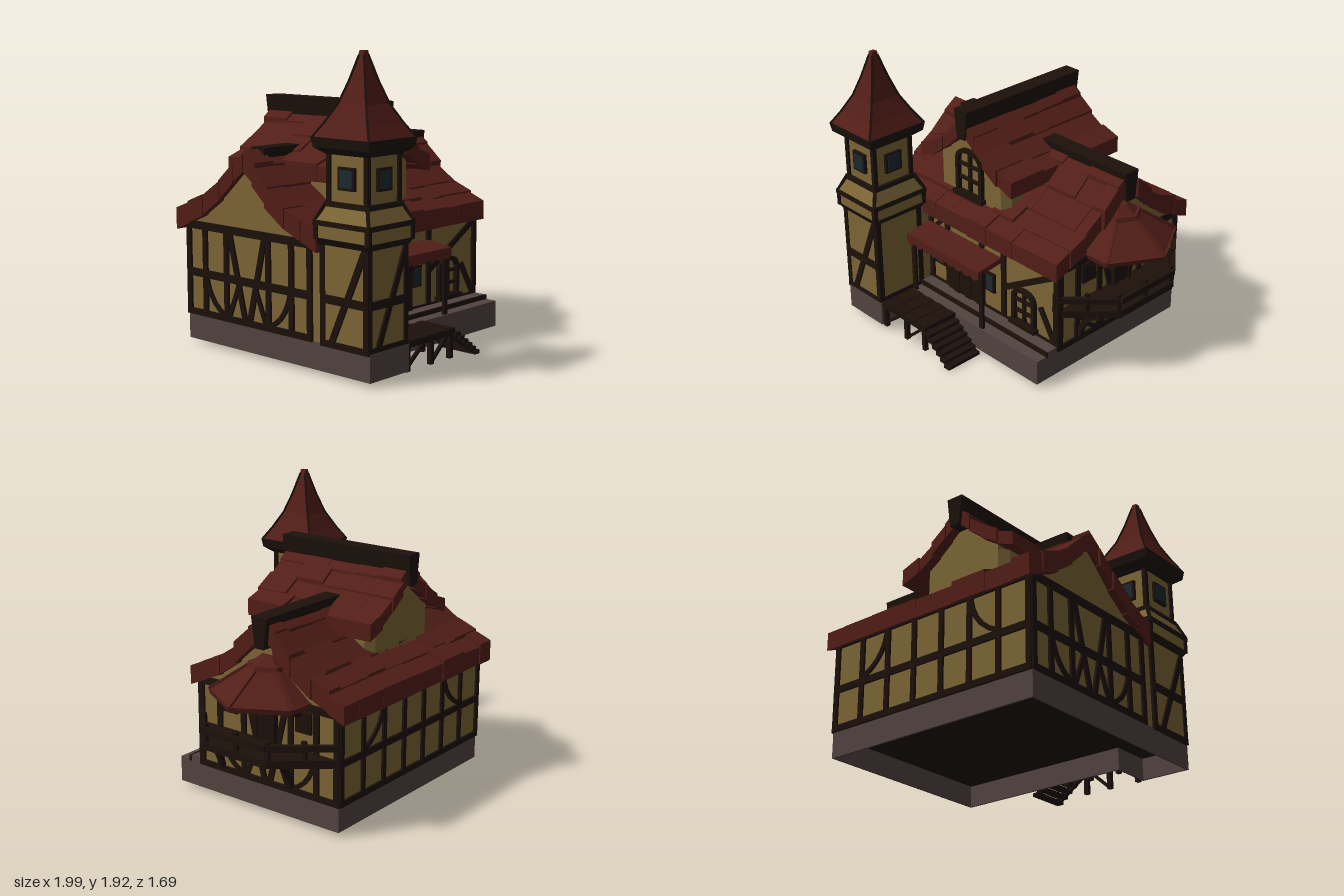
import * as THREE from 'three';

const mat = (color) => new THREE.MeshStandardMaterial({ color, flatShading: true, side: THREE.DoubleSide });
const ROOF = mat(0x531e18), WALL = mat(0x7d6636), WOOD = mat(0x1c110a), STONE = mat(0x524440), GLASS = mat(0x1c2a30);

let seed = 7;
const rnd = () => (seed = (seed * 16807) % 2147483647) / 2147483647;

function add(parent, name, geo, m, x = 0, y = 0, z = 0) {
  const mesh = new THREE.Mesh(geo, m);
  mesh.name = name;
  mesh.position.set(x, y, z);
  parent.add(mesh);
  return mesh;
}
const box = (parent, name, m, x0, x1, y0, y1, z0, z1) =>
  add(parent, name, new THREE.BoxGeometry(x1 - x0, y1 - y0, z1 - z0), m, (x0 + x1) / 2, (y0 + y1) / 2, (z0 + z1) / 2);
const sub = (parent, name) => {
  const g = new THREE.Group();
  g.name = name;
  parent.add(g);
  return g;
};
const shapeOf = (pts) => new THREE.Shape(pts.map((p) => new THREE.Vector2(p[0], p[1])));
const extrude = (shape, depth) => new THREE.ExtrudeGeometry(shape, { depth, bevelEnabled: false, curveSegments: 8 });
// Cross-section of [-z, y] points drawn out along x
const alongX = (pts, length) => extrude(shapeOf(pts), length).rotateY(Math.PI / 2);

// Upright prism over a floor plan of [x, z] points
function prism(parent, name, m, plan, y0, y1, hole) {
  const s = shapeOf(plan.map(([x, z]) => [x, -z]));
  if (hole) s.holes.push(shapeOf(hole.map(([x, z]) => [x, -z])));
  return add(parent, name, extrude(s, y1 - y0).rotateX(-Math.PI / 2), m, 0, y0, 0);
}
// Straight bar between two points in space
function bar(parent, name, m, a, b, w = 0.035, h = w) {
  const p = new THREE.Vector3(...a), q = new THREE.Vector3(...b);
  const mesh = add(parent, name, new THREE.BoxGeometry(w, h, p.distanceTo(q)), m);
  mesh.position.copy(p).lerp(q, 0.5);
  mesh.quaternion.setFromRotationMatrix(new THREE.Matrix4().lookAt(q, p, new THREE.Vector3(0, 1, 0.001)));
}
// Timber lying on a wall plane (local x, y; z points outward)
function timber(wall, x0, y0, x1, y1, w = 0.04) {
  const t = add(wall, 'timber', new THREE.BoxGeometry(Math.hypot(x1 - x0, y1 - y0), w, 0.03), WOOD, (x0 + x1) / 2, (y0 + y1) / 2, 0);
  t.rotation.z = Math.atan2(y1 - y0, x1 - x0);
}
function curvedTimber(wall, x0, y0, cx, cy, x1, y1) {
  const pts = new THREE.QuadraticBezierCurve(new THREE.Vector2(x0, y0), new THREE.Vector2(cx, cy), new THREE.Vector2(x1, y1)).getPoints(5);
  for (let i = 0; i < 5; i++) timber(wall, pts[i].x, pts[i].y, pts[i + 1].x, pts[i + 1].y, 0.03);
}
function wallPlane(parent, name, x, z, rotY) {
  const g = sub(parent, name);
  g.position.set(x, 0, z);
  g.rotation.y = rotY;
  return g;
}
function smallWindow(wall, x, y, w, h, pane) {
  box(wall, 'windowFrame', WOOD, x - w / 2, x + w / 2, y - h / 2, y + h / 2, 0, 0.02);
  box(wall, 'windowPane', pane, x - w / 2 + 0.015, x + w / 2 - 0.015, y - h / 2 + 0.015, y + h / 2 - 0.015, 0, 0.024);
}
function archedWindow(wall, x, y0, w, h) {
  const outline = (i) => new THREE.Shape().moveTo(-w / 2 + i, i).lineTo(w / 2 - i, i).lineTo(w / 2 - i, h * 0.7)
    .quadraticCurveTo(w / 2 - i, h - i, 0, h - i).quadraticCurveTo(-w / 2 + i, h - i, -w / 2 + i, h * 0.7);
  const frame = outline(0);
  frame.holes.push(outline(0.028));
  add(wall, 'archedWindowFrame', extrude(frame, 0.03), WOOD, x, y0, 0);
  box(wall, 'windowSill', WOOD, x - w / 2 - 0.015, x + w / 2 + 0.015, y0 - 0.01, y0 + 0.02, 0, 0.045);
  box(wall, 'windowBar', WOOD, x - 0.012, x + 0.012, y0, y0 + h - 0.02, 0, 0.02);
  for (const f of [0.35, 0.65]) box(wall, 'windowBar', WOOD, x - w / 2 + 0.01, x + w / 2 - 0.01, y0 + h * f - 0.01, y0 + h * f + 0.01, 0, 0.02);
}
// Concave tiled roof: ridge along local x, plumb-cut courses stepping down both sides
function tiledRoof(parent, name, prof, x0, x1, thick) {
  const g = sub(parent, name);
  for (const s of [-1, 1]) for (let i = 0; i + 1 < prof.length; i++) {
    const [d0, h0] = prof[i], [d1, h1] = prof[i + 1];
    let x = x0 - rnd() * 0.03;
    const end = x1 + rnd() * 0.03;
    while (x < end) {
      let next = x + 0.12 + rnd() * 0.13;
      if (end - next < 0.08) next = end;
      const r = rnd() < 0.3 ? 0.022 : rnd() * 0.01;
      const lip = i + 2 < prof.length ? 0.012 : r * 0.4;
      const section = [[s * d0, h0 + r], [s * (d1 + lip), h1 + r + 0.004], [s * (d1 + lip), h1 - thick], [s * d0, h0 - thick]];
      add(g, 'roofTile', alongX(section, next - x), ROOF, x, 0, 0);
      x = next;
    }
  }
  return g;
}
// Ridge beam, wider at the top, running along local x
const ridgeBeam = (parent, x0, x1, top) =>
  add(parent, 'ridgeBeam', alongX([[-0.035, top - 0.2], [0.035, top - 0.2], [0.06, top], [-0.06, top]], x1 - x0), WOOD, x0, 0, 0);

function buildTower(root) {
  const t = sub(root, 'tower');
  t.position.set(-0.782, 0, 0.605);
  t.scale.z = 1.09;
  const tier = (name, m, y0, h0, y1, h1) =>
    add(t, name, new THREE.CylinderGeometry(h1 * Math.SQRT2, h0 * Math.SQRT2, y1 - y0, 4).rotateY(Math.PI / 4), m, 0, (y0 + y1) / 2, 0);
  tier('towerBody', WALL, 0.2, 0.17, 0.83, 0.17);
  tier('towerSill', WOOD, 0.19, 0.177, 0.23, 0.177);
  tier('towerCornice', WOOD, 0.8, 0.177, 0.84, 0.2);
  tier('towerBelt', WALL, 0.84, 0.192, 0.92, 0.192);
  tier('towerCornice', WOOD, 0.915, 0.205, 0.945, 0.203);
  tier('towerFlare', WALL, 0.945, 0.195, 1.03, 0.152);
  tier('towerCornice', WOOD, 1.025, 0.16, 1.055, 0.156);
  tier('towerRoom', WALL, 1.05, 0.135, 1.34, 0.135);
  tier('eaveMoulding', WOOD, 1.33, 0.15, 1.37, 0.2);
  tier('eaveFascia', WOOD, 1.37, 0.2, 1.43, 0.21);
  const spire = [[1.425, 0.205], [1.51, 0.155], [1.62, 0.1], [1.75, 0.058], [1.9, 0.018]];
  const corners = [[1, 1], [1, -1], [-1, 1], [-1, -1]];
  for (let i = 0; i < 4; i++) {
    const [y0, h0] = spire[i], [y1, h1] = spire[i + 1];
    tier('spire', ROOF, y0, h0, y1, h1);
    for (const [sx, sz] of corners) bar(t, 'spireRib', WOOD, [sx * h0, y0, sz * h0], [sx * h1, y1, sz * h1], 0.012);
  }
  tier('spireCap', ROOF, 1.89, 0.022, 1.925, 0.017);
  for (const [sx, sz] of corners) {
    const post = (name, c, w, y0, y1) => box(t, name, WOOD, sx * c - w, sx * c + w, y0, y1, sz * c - w, sz * c + w);
    post('cornerPost', 0.158, 0.018, 0.2, 0.82);
    post('roomPost', 0.135, 0.014, 1.04, 1.34);
    post('beltPost', 0.187, 0.014, 0.83, 0.93);
    bar(t, 'flareRib', WOOD, [sx * 0.193, 0.94, sz * 0.193], [sx * 0.152, 1.04, sz * 0.152], 0.02);
  }
  for (let k = 0; k < 4; k++) {
    const a = (k * Math.PI) / 2, room = wallPlane(t, 'towerWindow', Math.sin(a) * 0.135, Math.cos(a) * 0.135, a);
    smallWindow(room, 0, 1.195, 0.12, 0.135, GLASS);
    if (k !== 0 && k !== 3) continue;
    const face = wallPlane(t, 'towerTimbers', Math.sin(a) * 0.168, Math.cos(a) * 0.168, a);
    timber(face, -0.165, 0.48, 0.165, 0.48, 0.05);
    timber(face, -0.09, 0.22, 0.01, 0.46);
    timber(face, 0.03, 0.5, 0.15, 0.79);
  }
}

function buildBalcony(root) {
  const b = sub(root, 'balcony');
  const plan = [[0.62, 0.34], [0.9, 0.06], [0.9, -0.44], [0.62, -0.78]];
  prism(b, 'balconyFloor', WOOD, plan, 0.45, 0.5);
  for (let i = 0; i < 3; i++) {
    const [ax, az] = plan[i], [bx, bz] = plan[i + 1];
    bar(b, 'handrail', WOOD, [ax, 0.58, az], [bx, 0.58, bz], 0.03, 0.04);
    for (const f of [0, 0.5, 1]) {
      const x = ax + (bx - ax) * f - 0.02, z = az + (bz - az) * f;
      box(b, 'railPost', WOOD, x - 0.012, x + 0.012, 0.49, 0.62, z - 0.015, z + 0.015);
    }
  }
  for (const z of [0.15, -0.42]) {
    const pts = new THREE.QuadraticBezierCurve3(new THREE.Vector3(0.63, 0.23, z), new THREE.Vector3(0.67, 0.42, z), new THREE.Vector3(0.82, 0.46, z)).getPoints(5);
    for (let i = 0; i < 5; i++) bar(b, 'curvedBracket', WOOD, pts[i].toArray(), pts[i + 1].toArray(), 0.035);
  }
  // Six-sided canopy over the balcony
  const hex = (name, m, r1, r0, y0, y1) =>
    add(b, name, new THREE.CylinderGeometry(r1, r0, y1 - y0, 6).rotateY(Math.PI / 6), m, 0.61, (y0 + y1) / 2, -0.235);
  hex('canopyFascia', ROOF, 0.387, 0.375, 0.785, 0.82);
  hex('canopyRoof', ROOF, 0.14, 0.38, 0.815, 0.98);
  hex('canopyCap', ROOF, 0.135, 0.145, 0.98, 1.01);
  hex('canopyPeak', ROOF, 0.05, 0.115, 1.01, 1.06);
  for (const a of [-1, 0, 1]) {
    const c = Math.cos((a * Math.PI) / 3), s = Math.sin((a * Math.PI) / 3);
    bar(b, 'canopyHip', ROOF, [0.61 + 0.38 * c, 0.818, -0.235 + 0.38 * s], [0.61 + 0.14 * c, 0.982, -0.235 + 0.14 * s], 0.022);
    bar(b, 'canopyStrut', WOOD, [0.61 + 0.33 * c, 0.78, -0.235 + 0.33 * s], [0.63, 0.73, -0.235 + 0.3 * s], 0.025);
  }
}

function buildPorch(root) {
  const p = sub(root, 'porch');
  box(p, 'porchFloor', STONE, -0.6, 0.625, 0.19, 0.203, 0.33, 0.525);
  box(p, 'porchStep', STONE, -0.6, 0.625, 0.2, 0.233, 0.33, 0.43);
  box(p, 'porchEdge', WOOD, -0.6, 0.63, 0.195, 0.233, 0.43, 0.445);
  // Raised deck of planks, legs, cross braces and stairs
  for (let i = 0; i < 8; i++) box(p, 'deckPlank', WOOD, -0.6 + i * 0.056, -0.545 + i * 0.056, 0.18, 0.207 + (i % 2) * 0.004, 0.525, 0.79);
  for (const z of [0.55, 0.77]) {
    box(p, 'deckJoist', WOOD, -0.6, -0.15, 0.165, 0.187, z - 0.015, z + 0.015);
    for (const x of [-0.585, -0.365, -0.18]) box(p, 'deckLeg', WOOD, x - 0.015, x + 0.015, 0.02, 0.18, z - 0.015, z + 0.015);
    bar(p, 'deckBrace', WOOD, [-0.58, 0.05, z], [-0.42, 0.175, z], 0.02);
    bar(p, 'deckBrace', WOOD, [-0.35, 0.04, z], [-0.2, 0.175, z], 0.02);
    bar(p, 'stairStringer', WOOD, [-0.16, 0.165, z], [0.06, 0.015, z], 0.03);
  }
  for (let i = 0; i < 6; i++) box(p, 'stairTread', WOOD, -0.155 + i * 0.039, -0.105 + i * 0.039, 0.155 - i * 0.031, 0.178 - i * 0.031, 0.53, 0.8);
  // Sloping awning with a scalloped edge
  bar(p, 'awning', ROOF, [-0.245, 0.655, 0.34], [-0.245, 0.63, 0.545], 0.71, 0.036);
  const s = new THREE.Shape().moveTo(-0.6, 0.645).lineTo(-0.6, 0.595);
  for (let i = 0; i < 9; i++) s.quadraticCurveTo(-0.56 + i * 0.0789, 0.555, -0.521 + i * 0.0789, 0.595);
  s.lineTo(0.11, 0.645);
  add(p, 'awningValance', extrude(s, 0.012), ROOF, 0, 0, 0.538);
  for (const x of [-0.58, 0.095]) box(p, 'awningPost', WOOD, x - 0.018, x + 0.018, 0.2, 0.63, 0.5, 0.518);
}

export function createModel() {
  const root = new THREE.Group();
  root.name = 'timberHouse';

  // Hollow stone base
  const L = (i) => [[-0.945 + i, -0.785 + i], [0.625 - i, -0.785 + i], [0.625 - i, 0.525 - i], [-0.6 - i, 0.525 - i], [-0.6 - i, 0.8 - i], [-0.945 + i, 0.8 - i]];
  prism(root, 'stoneBase', STONE, L(0), 0.03, 0.2, L(0.012));
  prism(root, 'baseFloor', WOOD, L(0.01), 0.175, 0.198);

  // Main walls, extruded along x under the curved roof
  const half = [[0, 1.17], [0.2, 0.99], [0.35, 0.885], [0.56, 0.79], [0.56, 0.2]];
  const outline = [...half, ...half.slice(1).reverse().map(([d, y]) => [-d, y])].map(([d, y]) => [d + 0.225, y]);
  add(root, 'mainWalls', alongX(outline, 1.56), WALL, -0.94, 0, 0);
  box(root, 'towerLink', WALL, -0.94, -0.62, 0.2, 0.8, 0.3, 0.44);

  const front = wallPlane(root, 'frontWall', 0, 0.335, 0);
  timber(front, -0.62, 0.22, 0.63, 0.22, 0.05);
  timber(front, -0.62, 0.76, 0.63, 0.76, 0.05);
  for (const x of [-0.59, -0.42, -0.08, 0.13, 0.612]) timber(front, x, 0.2, x, 0.77);
  timber(front, 0.13, 0.46, 0.6, 0.74);
  timber(front, 0.47, 0.46, 0.6, 0.24);
  timber(front, -0.58, 0.62, -0.45, 0.74, 0.03);
  smallWindow(front, -0.495, 0.445, 0.1, 0.14, GLASS);
  smallWindow(front, 0.005, 0.445, 0.085, 0.14, GLASS);
  for (let i = 0; i < 6; i++) box(front, 'doorPlank', WOOD, -0.4 + i * 0.057, -0.343 + i * 0.057, 0.21, 0.62, 0, 0.025 + (i % 2) * 0.008);
  archedWindow(front, 0.325, 0.255, 0.21, 0.275);

  // Side walls share one timber layout; local x is -z on the right, z on the left
  for (const s of [1, -1]) {
    const w = wallPlane(root, s > 0 ? 'rightWall' : 'leftWall', s > 0 ? 0.62 : -0.94, -0.225, (s * Math.PI) / 2);
    for (const [y, h] of [[0.215, 0.04], [0.475, 0.05], [0.785, 0.05]]) timber(w, -0.565, y, 0.565, y, h);
    for (const x of [-0.545, -0.39, -0.19, 0.19, 0.39, 0.545]) timber(w, x, 0.2, x, 0.8);
    for (const k of [-1, 1]) {
      timber(w, k * 0.16, 0.78, k * 0.02, 0.22);
      timber(w, k * 0.07, 0.46, k * 0.17, 0.22, 0.03);
      curvedTimber(w, k * 0.38, 0.46, k * 0.34, 0.28, k * 0.2, 0.23);
      if (s > 0) smallWindow(w, k * 0.295, 0.685, 0.12, 0.135, WOOD);
    }
    if (s < 0) continue;
    box(w, 'balconyDoor', WOOD, -0.08, 0.08, 0.48, 0.74, 0, 0.03);
    for (const x of [-0.07, 0.07]) box(w, 'doorJamb', WOOD, x - 0.012, x + 0.012, 0.48, 0.73, 0, 0.04);
  }
  const back = wallPlane(root, 'backWall', -0.16, -0.785, Math.PI);
  for (const [y, h] of [[0.215, 0.04], [0.475, 0.045], [0.785, 0.05]]) timber(back, -0.785, y, 0.785, y, h);
  for (let i = 0; i < 8; i++) timber(back, -0.766 + i * 0.219, 0.2, -0.766 + i * 0.219, 0.8, 0.035);
  curvedTimber(back, 0.34, 0.76, 0.36, 0.58, 0.54, 0.5);
  curvedTimber(back, -0.34, 0.76, -0.36, 0.58, -0.54, 0.5);

  // Main roof
  const mainRoof = tiledRoof(root, 'mainRoof', [[0, 1.28], [0.09, 1.205], [0.21, 1.085], [0.36, 0.975], [0.49, 0.915], [0.615, 0.86]], -0.965, 0.655, 0.115);
  mainRoof.position.z = -0.228;
  ridgeBeam(mainRoof, -0.84, 0.7, 1.31);

  // Cross gable with bevelled corners
  const gable = sub(root, 'crossGable');
  prism(gable, 'gableWalls', WALL, [[-0.6, 0.2], [-0.55, 0.25], [0.01, 0.25], [0.06, 0.2], [0.06, -0.55], [0.01, -0.6], [-0.55, -0.6], [-0.6, -0.55]], 0.8, 1.16);
  add(gable, 'gableFace', extrude(shapeOf([[-0.55, 0.85], [0.01, 0.85], [0.01, 1.2], [-0.14, 1.31], [-0.27, 1.43], [-0.4, 1.31], [-0.55, 1.2]]), 0.85), WALL, 0, 0, -0.6);
  archedWindow(wallPlane(gable, 'gableWindow', 0, 0.25, 0), -0.27, 0.95, 0.25, 0.34);
  const gableRoof = tiledRoof(gable, 'gableRoof', [[0, 1.5], [0.09, 1.42], [0.19, 1.335], [0.31, 1.25], [0.435, 1.2]], -0.305, 0.65, 0.085);
  gableRoof.rotation.y = Math.PI / 2;
  gableRoof.position.x = -0.27;
  ridgeBeam(gableRoof, -0.335, 0.69, 1.59);

  buildTower(root);
  buildBalcony(root);
  buildPorch(root);
  return root;
}
